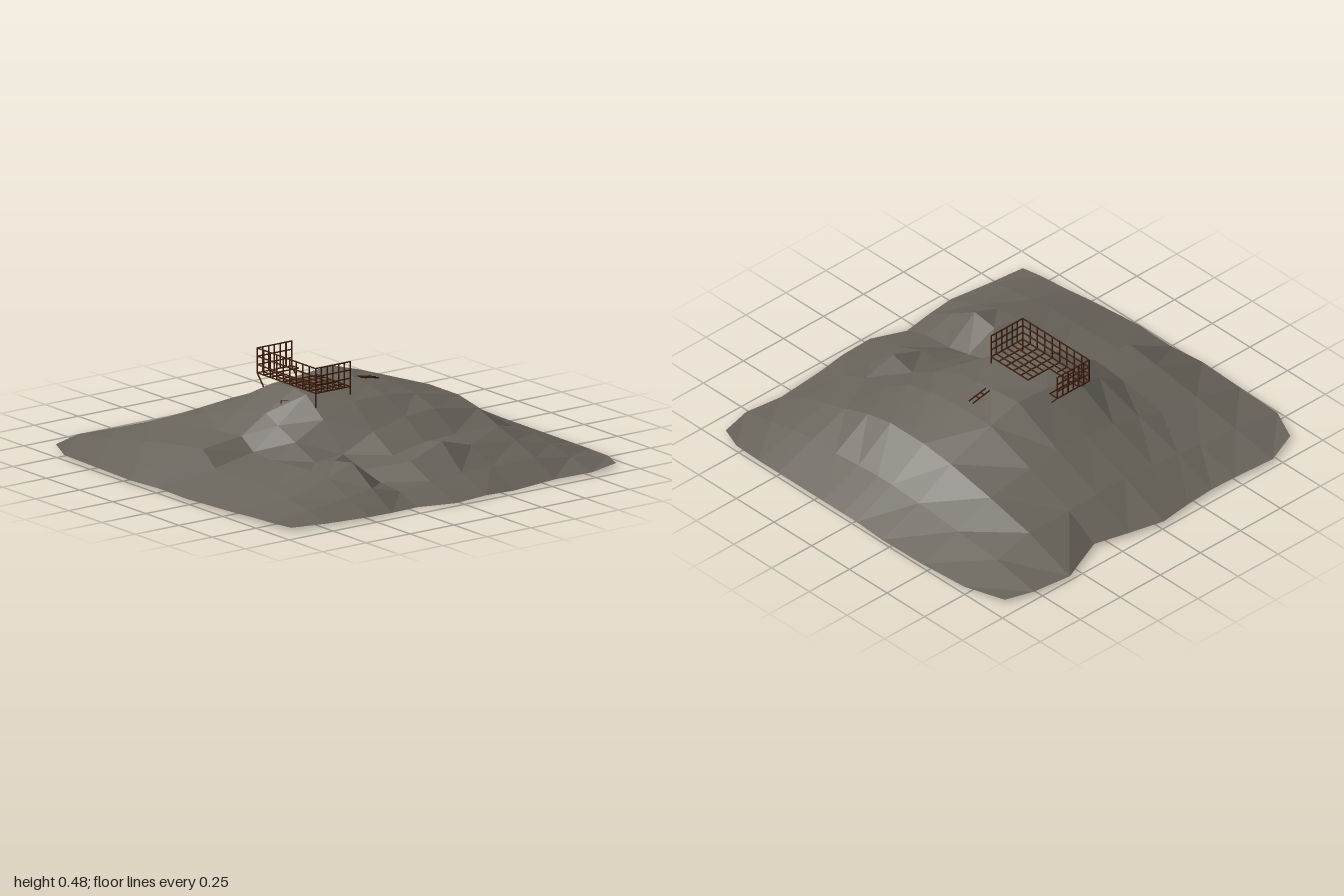
import * as THREE from 'three';
import { mergeGeometries } from 'three/addons/utils/BufferGeometryUtils.js';

const rockMat = new THREE.MeshStandardMaterial({ color: 0x69645b });
rockMat.name = 'grey rock';
const rustMat = new THREE.MeshStandardMaterial({ color: 0x43200f });
rustMat.name = 'rusty iron';

// Station lines of the hill, its uneven rim, and heights in hundredths (back row first)
const X = [-0.98, -0.72, -0.5, -0.36, -0.2, -0.03, 0.15, 0.32, 0.57, 0.77, 0.98];
const Z = [-0.95, -0.72, -0.46, -0.2, -0.02, 0.07, 0.2, 0.35, 0.5, 0.63, 0.78, 0.94];
const backZ = [-0.89, -0.965, -0.95, -0.945, -0.955, -0.975, -0.93, -0.885, -0.99, -0.965, -0.92];
const frontZ = [0.885, 0.91, 0.94, 0.93, 0.91, 0.975, 0.965, 0.95, 0.925, 0.945, 0.9];
const leftX = [-0.9, -0.98, -0.99, -1, -0.98, -0.98, -0.985, -0.97, -0.955, -0.935, -0.92, -0.9];
const rightX = [0.91, 0.975, 0.995, 1, 0.99, 0.99, 0.99, 0.99, 0.99, 0.99, 0.985, 0.94];
const H = [
  [2, 2, 2, 2, 2, 2, 2, 2, 2, 2, 2],
  [2, 6, 8, 10, 11.5, 13, 13, 12, 12, 7, 2],
  [2, 10, 13, 17, 21, 23, 24, 22, 18, 9, 2],
  [2, 14, 17, 25, 34, 35.5, 37, 32, 23, 11, 2],
  [2, 16, 18.5, 27, 36, 36, 35, 32, 25, 12, 2],
  [2, 9, 13, 23, 35, 35, 34, 31.5, 25, 12, 2],
  [2, 9, 12, 18, 26, 32, 32, 30, 25, 11, 2],
  [2, 9, 13, 12, 13, 21, 25, 26, 22, 10, 2],
  [2, 9, 14, 16, 9, 13, 16.5, 17, 17, 10, 2],
  [2, 7, 13, 18, 6, 13, 19.5, 15, 13, 8, 2],
  [2, 5, 7, 9, 5, 7, 8, 8, 8, 5, 2],
  [2, 1.5, 1.5, 1, 0.5, 1, 1.5, 0.5, 1, 1.5, 2],
];
const NX = X.length - 1, NZ = Z.length - 1;

function point(i, j) {
  const x = i === 0 ? leftX[j] : i === NX ? rightX[j] : X[i];
  const z = j === 0 ? backZ[i] : j === NZ ? frontZ[i] : Z[j];
  return new THREE.Vector3(x, H[j][i] / 100, z);
}

// Separate triangles give crisp facets
function facets(points) {
  const g = new THREE.BufferGeometry().setFromPoints(points);
  g.computeVertexNormals();
  return g;
}

function hillGeometry() {
  const out = [];
  for (let j = 0; j < NZ; j++) {
    for (let i = 0; i < NX; i++) {
      const a = point(i, j), b = point(i + 1, j), c = point(i, j + 1), d = point(i + 1, j + 1);
      // fold each cell along its flatter diagonal
      if (Math.abs(a.y - d.y) < Math.abs(b.y - c.y)) out.push(a, c, d, a, d, b);
      else out.push(a, c, b, b, c, d);
    }
  }
  return facets(out);
}

function undersideGeometry() {
  const rim = [];
  for (let i = 0; i < NX; i++) rim.push(point(i, 0));
  for (let j = 0; j < NZ; j++) rim.push(point(NX, j));
  for (let i = NX; i > 0; i--) rim.push(point(i, NZ));
  for (let j = NZ; j > 0; j--) rim.push(point(0, j));
  const centre = new THREE.Vector3(0, 0.015, 0);
  return facets(rim.flatMap((p, k) => [centre, p, rim[(k + 1) % rim.length]]));
}

// Square iron rod between two points
function rod(a, b, t = 0.005) {
  const from = new THREE.Vector3(...a), to = new THREE.Vector3(...b);
  const g = new THREE.BoxGeometry(t, t, from.distanceTo(to) + t);
  const m = new THREE.Object3D();
  m.position.copy(from).add(to).multiplyScalar(0.5);
  m.lookAt(to);
  m.updateMatrix();
  return g.applyMatrix4(m.matrix);
}

// Mesh panel from a corner o, spanned by u and v
function panel(o, u, v, nu, nv) {
  const at = (s, t) => o.map((c, k) => c + u[k] * s + v[k] * t);
  const rods = [];
  for (let i = 0; i <= nu; i++) rods.push(rod(at(i / nu, 0), at(i / nu, 1)));
  for (let j = 0; j <= nv; j++) rods.push(rod(at(0, j / nv), at(1, j / nv)));
  return mergeGeometries(rods);
}

export function createModel() {
  const model = new THREE.Group();
  model.name = 'hillWithPlatform';
  const add = (parent, name, geometry, material) => {
    const mesh = new THREE.Mesh(geometry, material);
    mesh.name = name;
    parent.add(mesh);
  };

  add(model, 'hill', hillGeometry(), rockMat);
  add(model, 'underside', undersideGeometry(), rockMat);

  // Lookout platform: grated floor with an access opening, railed on three sides
  const platform = new THREE.Group();
  platform.name = 'platform';
  model.add(platform);
  const y = 0.37, up = [0, 0.117, 0];
  const iron = (name, g) => add(platform, name, g, rustMat);
  iron('mainFloor', panel([-0.197, y, -0.107], [0.197, 0, 0], [0, 0, 0.245], 6, 5));
  iron('sideFloor', panel([-0.197, y, -0.302], [0.066, 0, 0], [0, 0, 0.195], 2, 4));
  iron('backFloor', panel([-0.131, y, -0.302], [0.131, 0, 0], [0, 0, 0.05], 1, 1));
  iron('leftRailing', panel([-0.197, y, -0.302], [0, 0, 0.44], up, 9, 3));
  iron('backRailing', panel([-0.197, y, -0.302], [0.197, 0, 0], up, 6, 3));
  iron('frontRailing', panel([-0.197, y, 0.138], [0.197, 0, 0], up, 6, 3));

  // Supports down to the slope
  for (const x of [-0.197, 0]) {
    iron('backStrut', rod([x, y, -0.302], [x, 0.31, -0.25]));
    iron('frontPost', rod([x, y, 0.138], [x, 0.28, 0.138]));
  }

  // Half-buried ladder beside the platform, and a loose bracket on the other side
  const ladder = new THREE.Group();
  ladder.name = 'ladder';
  model.add(ladder);
  for (const z of [-0.03, -0.005]) add(ladder, 'ladderRail', rod([0.17, 0.353, z], [0.27, 0.334, z]), rustMat);
  for (const x of [0.2, 0.235]) add(ladder, 'ladderRung', rod([x, 0.345, -0.03], [x, 0.345, -0.005]), rustMat);
  add(model, 'bracket', mergeGeometries([
    rod([-0.29, 0.29, 0], [-0.29, 0.32, 0], 0.003),
    rod([-0.29, 0.32, 0], [-0.26, 0.32, 0.02], 0.003),
  ]), rustMat);

  return model;
}
